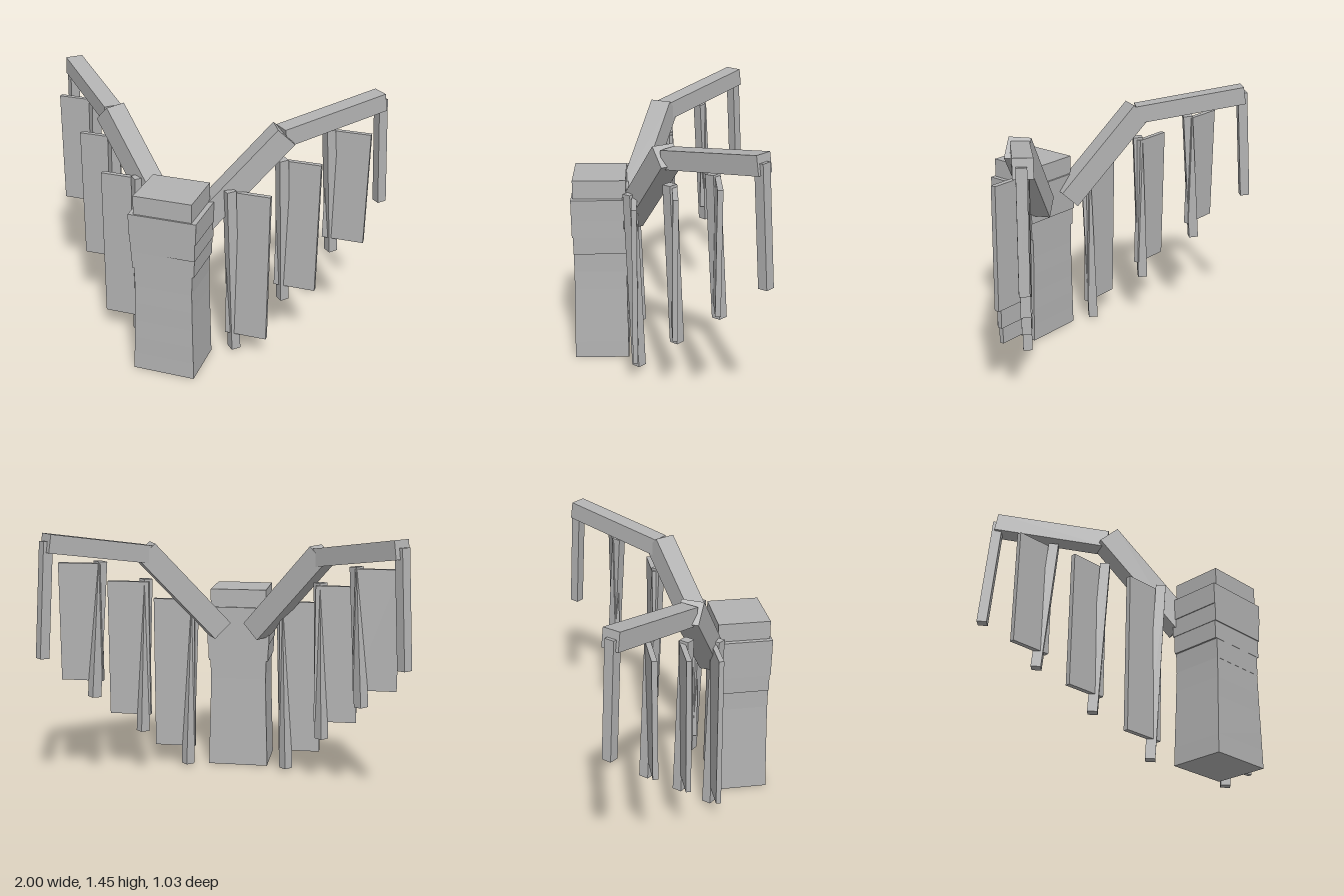
import * as THREE from 'three';

const grey = new THREE.MeshStandardMaterial({ color: 0xb2b2b2 });
grey.name = 'stone grey';

const V = (a) => new THREE.Vector3(...a);

function add(parent, name, geometry) {
  const mesh = new THREE.Mesh(geometry, grey);
  mesh.name = name;
  parent.add(mesh);
  return mesh;
}

// Box whose size changes from the bottom to the top
function taperedSlab(y0, y1, w0, d0, w1, d1) {
  const g = new THREE.BoxGeometry(2, y1 - y0, 2).toNonIndexed();
  g.translate(0, (y0 + y1) / 2, 0);
  const p = g.attributes.position;
  for (let i = 0; i < p.count; i++) {
    const top = p.getY(i) > (y0 + y1) / 2;
    p.setX(i, p.getX(i) * (top ? w1 : w0));
    p.setZ(i, p.getZ(i) * (top ? d1 : d0));
  }
  g.computeVertexNormals();
  return g;
}

// Box running from a to b, its sides turned so that they follow the side vector
function beam(parent, name, a, b, width, thick, side) {
  const start = V(a), end = V(b);
  const dir = end.clone().sub(start);
  const length = dir.length();
  dir.normalize();
  const x = side.clone().addScaledVector(dir, -side.dot(dir)).normalize();
  const z = new THREE.Vector3().crossVectors(x, dir);
  const mesh = add(parent, name, new THREE.BoxGeometry(width, length, thick));
  mesh.quaternion.setFromRotationMatrix(new THREE.Matrix4().makeBasis(x, dir, z));
  mesh.position.copy(start).add(end).multiplyScalar(0.5);
}

export function createModel() {
  const model = new THREE.Group();
  model.name = 'wingedTower';

  // Stacked body: bottom, top, half width and half depth at each
  const body = new THREE.Group();
  body.name = 'body';
  body.position.z = 0.36;
  model.add(body);
  [
    [0, 0.1, 0.176, 0.154, 0.174, 0.152],
    [0.1, 0.2, 0.174, 0.152, 0.171, 0.151],
    [0.2, 0.31, 0.171, 0.151, 0.168, 0.149],
    [0.31, 0.42, 0.168, 0.149, 0.165, 0.148],
    [0.42, 0.53, 0.165, 0.148, 0.163, 0.146],
    [0.53, 0.64, 0.163, 0.147, 0.166, 0.147],
    [0.64, 0.74, 0.176, 0.148, 0.179, 0.148],
    [0.74, 0.84, 0.182, 0.154, 0.183, 0.155],
    [0.84, 0.96, 0.188, 0.155, 0.19, 0.156],
  ].forEach((s) => add(body, 'bodySection', taperedSlab(...s)));
  add(body, 'head', taperedSlab(0.96, 1.065, 0.163, 0.146, 0.163, 0.146));

  for (const s of [1, -1]) {
    const wing = new THREE.Group();
    wing.name = s > 0 ? 'leftWing' : 'rightWing';
    model.add(wing);

    // Wing arm in two pieces
    beam(wing, 'innerArm', [s * 0.108, 0.831, 0.198], [s * 0.503, 1.31, -0.007],
      0.122, 0.13, new THREE.Vector3(s * 0.47, 0, 0.88));
    beam(wing, 'outerArm', [s * 0.49, 1.293, -0.01], [s * 0.93, 1.397, -0.452],
      0.1, 0.1, new THREE.Vector3(s * 0.707, 0, 0.707));

    // Hanging struts, leaning outward and back
    [
      [[0.265, 1.025, 0.19], [0.295, 0.015, 0.148]],
      [[0.493, 1.153, -0.02], [0.517, 0.27, -0.06]],
      [[0.697, 1.275, -0.227], [0.74, 0.52, -0.27]],
      [[0.93, 1.405, -0.442], [0.962, 0.778, -0.477]],
    ].forEach(([a, b]) => {
      a[0] *= s;
      b[0] *= s;
      beam(wing, 'strut', a, b, 0.054, 0.054, new THREE.Vector3(s * 0.707, 0, 0.707));
    });

    // Flat feather panels: inner x, outer x, bottom, top, z
    [
      [0.25, 0.49, 0.122, 1.01, 0.165],
      [0.47, 0.708, 0.367, 1.14, -0.045],
      [0.69, 0.927, 0.61, 1.267, -0.25],
    ].forEach(([x0, x1, y0, y1, z]) => {
      const panel = add(wing, 'featherPanel', new THREE.BoxGeometry(x1 - x0, y1 - y0, 0.028));
      panel.position.set(s * (x0 + x1) / 2, (y0 + y1) / 2, z);
    });
  }
  return model;
}
